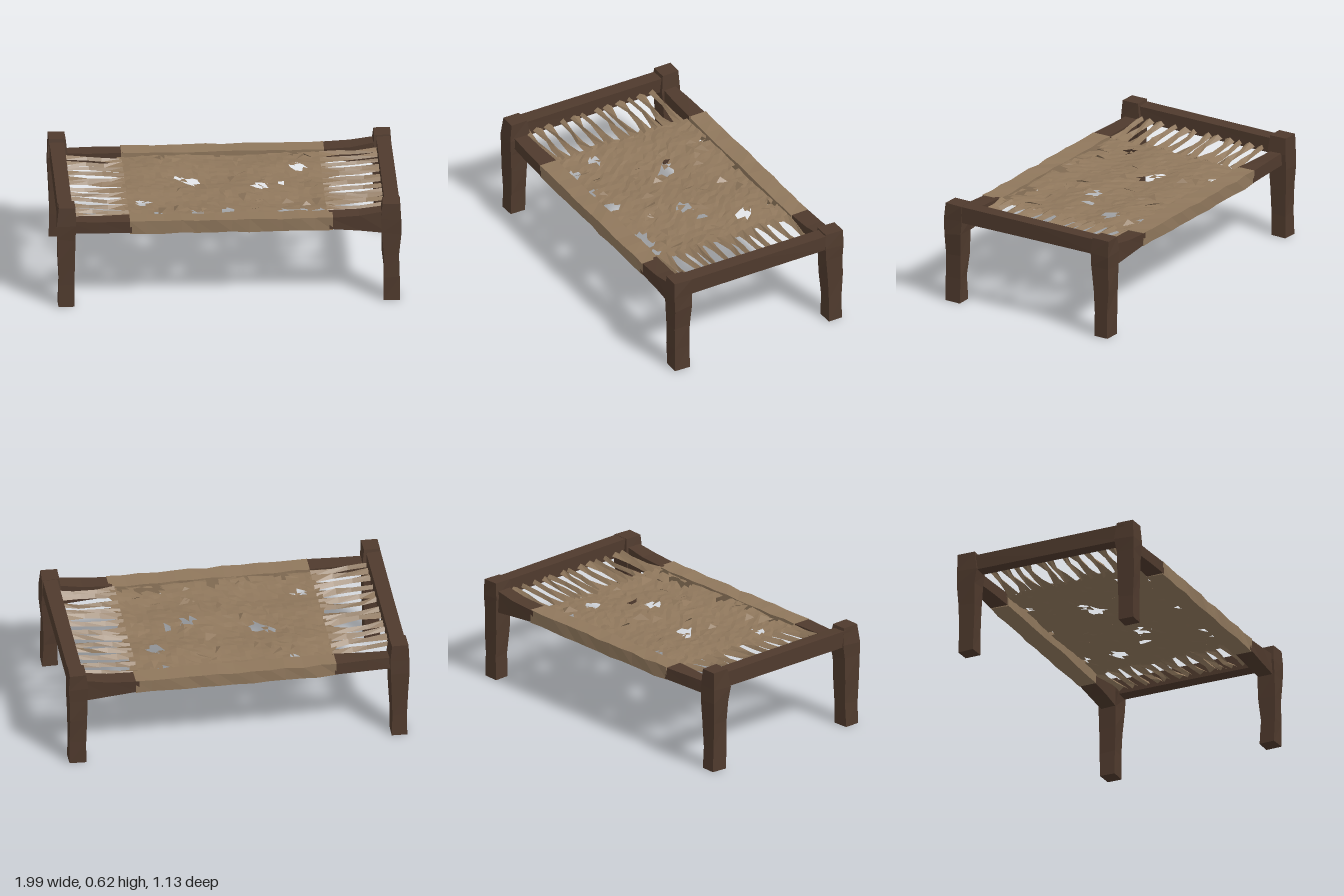
import * as THREE from 'three';

// Seeded random, symmetric around zero
let seed = 7;
const rnd = (a = 1) => {
  seed = (seed * 16807) % 2147483647;
  return (seed / 2147483647 * 2 - 1) * a;
};

const geometryFrom = (pos) => {
  const g = new THREE.BufferGeometry();
  g.setAttribute('position', new THREE.Float32BufferAttribute(pos, 3));
  g.computeVertexNormals();
  return g;
};

// Maps (along, u, v) so that u x v points along the chosen axis
const AXES = {
  x: (a, u, v) => [a, u, v],
  y: (a, u, v) => [v, a, u],
  z: (a, u, v) => [u, v, a],
};

// Rough-hewn beam through rectangular rings [along, u0, u1, v0, v1]
function beam(axis, rings, rough) {
  const pts = rings.map(([a, u0, u1, v0, v1], k) => {
    const inner = k > 0 && k < rings.length - 1;
    return [[u0, v0], [u1, v0], [u1, v1], [u0, v1]].map(([u, v]) =>
      AXES[axis](a + (inner ? rnd(rough * 2) : 0), u + rnd(rough), v + rnd(rough)));
  });
  const pos = [];
  const tri = (...c) => c.forEach((p) => pos.push(...p));
  for (let k = 0; k < pts.length - 1; k++) {
    for (let i = 0; i < 4; i++) {
      const j = (i + 1) % 4;
      tri(pts[k][i], pts[k][j], pts[k + 1][j]);
      tri(pts[k][i], pts[k + 1][j], pts[k + 1][i]);
    }
  }
  const s = pts[0], e = pts[pts.length - 1];
  tri(s[0], s[2], s[1]);
  tri(s[0], s[3], s[2]);
  tri(e[0], e[1], e[2]);
  tri(e[0], e[2], e[3]);
  return geometryFrom(pos);
}

// Gentle unevenness of the woven bed
const matHeight = (x, z) => 0.507 + 0.006 * Math.sin(x * 9 + z * 5) + 0.005 * Math.sin(z * 19);

// Torn spots: x, z, radius
const HOLES = [
  [0.44, -0.22, 0.045], [-0.18, -0.06, 0.045], [0.21, 0.04, 0.05], [0.34, 0.41, 0.04],
  [0.42, 0.4, 0.035], [0, 0.41, 0.045], [-0.18, 0.42, 0.03], [-0.4, 0.42, 0.04],
  [-0.48, 0.24, 0.035], [0.53, 0.43, 0.03], [-0.02, -0.43, 0.025], [0.42, -0.42, 0.025],
  [-0.34, -0.43, 0.03], [0.33, 0, 0.025], [-0.25, -0.1, 0.025],
];

function matGeometry() {
  const nx = 34, nz = 26, pts = [], pos = [];
  for (let i = 0; i <= nx; i++) {
    for (let j = 0; j <= nz; j++) {
      const end = i === 0 || i === nx, side = j === 0 || j === nz;
      const x = -0.6 + 1.2 * i / nx + rnd(end ? 0.02 : 0.009);
      const z = -0.455 + 0.91 * j / nz + (side ? 0 : rnd(0.009));
      pts.push([x, matHeight(x, z) + rnd(0.004), z]);
    }
  }
  const tri = (...c) => {
    const x = (c[0][0] + c[1][0] + c[2][0]) / 3, z = (c[0][2] + c[1][2] + c[2][2]) / 3;
    if (HOLES.some(([hx, hz, r]) => Math.hypot(x - hx, z - hz) < r)) return;
    c.forEach((p) => pos.push(...p));
  };
  for (let i = 0; i < nx; i++) {
    for (let j = 0; j < nz; j++) {
      const a = pts[i * (nz + 1) + j], b = pts[i * (nz + 1) + j + 1];
      const c = pts[(i + 1) * (nz + 1) + j], d = pts[(i + 1) * (nz + 1) + j + 1];
      tri(a, b, d);
      tri(a, d, c);
    }
  }
  return geometryFrom(pos);
}

// Loose triangular shreds lifted off the weave
function shredsGeometry() {
  const pos = [];
  for (let n = 0; n < 46; n++) {
    const x = rnd(0.54), z = rnd(0.41), y = matHeight(x, z), t = rnd(Math.PI), l = 0.045 + rnd(0.02);
    const c = Math.cos(t) * l, s = Math.sin(t) * l;
    pos.push(x - c, y, z - s, x + c, y, z + s, x - s * 0.8, y + 0.016 + rnd(0.012), z + c * 0.8);
  }
  return geometryFrom(pos);
}

// Ridged cords, pinched in the middle, tying the mat to an end rail
function cordsGeometry(side, count, waist) {
  const pos = [];
  for (let n = 0; n < count; n++) {
    const z = -0.4 + 0.84 * n / (count - 1) + rnd(0.012), half = 0.36 / count;
    const rows = [
      [0.57, matHeight(0.57 * side, z), half * 1.25],
      [0.68 + rnd(0.03), 0.51, half * 0.75],
      [0.79 + rnd(0.03), 0.515, half * waist],
      [0.91, 0.53, half * (0.8 + rnd(0.35))],
    ].map(([x, y, w]) => {
      const m = z + rnd(0.01);
      return [[x * side, y - 0.01, m - w], [x * side, y + 0.012, m + rnd(w * 0.5)], [x * side, y - 0.006, m + w]];
    });
    for (let k = 0; k < 3; k++) {
      for (let i = 0; i < 2; i++) {
        const a = rows[k][i], b = rows[k][i + 1], c = rows[k + 1][i], d = rows[k + 1][i + 1];
        const quad = side > 0 ? [a, b, d, a, d, c] : [a, d, b, a, c, d];
        quad.forEach((p) => pos.push(...p));
      }
    }
  }
  return geometryFrom(pos);
}

export function createModel() {
  seed = 7;
  const wood = new THREE.MeshStandardMaterial({ color: 0x4f3a2d, flatShading: true });
  wood.name = 'dark wood';
  const cloth = new THREE.MeshStandardMaterial({ color: 0x8f775c, flatShading: true, side: THREE.DoubleSide });
  cloth.name = 'woven cord';
  const group = new THREE.Group();
  group.name = 'ropeBed';
  const add = (name, geometry, material) => {
    const mesh = new THREE.Mesh(geometry, material);
    mesh.name = name;
    group.add(mesh);
  };
  // Orders a mirrored range so beams keep outward faces
  const span = (s, inner, outer) => (s > 0 ? [inner, outer] : [-outer, -inner]);

  // Four legs with swollen heads
  for (const sx of [-1, 1]) {
    for (const sz of [-1, 1]) {
      const top = sx < 0 ? 0.617 : 0.602;
      const ring = (y, x0, x1, z0, z1) => [y, ...span(sz, z0, z1), ...span(sx, x0, x1)];
      add((sz > 0 ? 'front' : 'back') + (sx > 0 ? 'Left' : 'Right') + 'Leg', beam('y', [
        ring(0, 0.893, 0.985, 0.463, 0.556),
        ring(0.14, 0.895, 0.982, 0.463, 0.556),
        ring(0.29, 0.888, 0.983, 0.46, 0.56),
        ring(0.42, 0.882, 0.99, 0.452, 0.563),
        ring(0.51, 0.879, 0.992, 0.44, 0.563),
        ring(top, 0.89, 0.986, 0.452, 0.56),
      ], 0.005), wood);
    }
  }

  // End rails between the leg heads
  for (const s of [-1, 1]) {
    const [x0, x1] = span(s, 0.9, 0.984);
    add(s > 0 ? 'leftEndRail' : 'rightEndRail', beam('z', [
      [-0.5, x0, x1, 0.502, 0.594], [0, x0, x1, 0.503, 0.596], [0.5, x0, x1, 0.502, 0.599],
    ], 0.002), wood);
  }

  // Side rails: bare wooden ends and a cord-wrapped middle
  for (const s of [-1, 1]) {
    const name = s > 0 ? 'front' : 'back';
    const ring = (x, y0, y1, z0, z1) => [x, y0, y1, ...span(s, z0, z1)];
    add(name + 'SideRailRightEnd', beam('x', [
      ring(-0.92, 0.45, 0.525, 0.458, 0.535),
      ring(-0.75, 0.45, 0.522, 0.452, 0.543),
      ring(-0.56, 0.45, 0.522, 0.445, 0.55),
    ], 0.003), wood);
    add(name + 'SideRailLeftEnd', beam('x', [
      ring(0.58, 0.45, 0.522, 0.447, 0.55),
      ring(0.75, 0.437, 0.53, 0.452, 0.55),
      ring(0.92, 0.415, 0.555, 0.458, 0.545),
    ], 0.003), wood);
    const rings = [];
    for (let i = 0; i <= 12; i++) {
      rings.push(ring(-0.57 + 1.17 * i / 12, 0.446, 0.523, 0.44, 0.552));
    }
    add(name + 'RailWrap', beam('x', rings, 0.004), cloth);
  }

  // Torn woven bed and its lashings
  add('wovenMat', matGeometry(), cloth);
  add('matShreds', shredsGeometry(), cloth);
  add('rightLashings', cordsGeometry(-1, 12, 0.4), cloth);
  add('leftLashings', cordsGeometry(1, 13, 0.55), cloth);
  return group;
}
